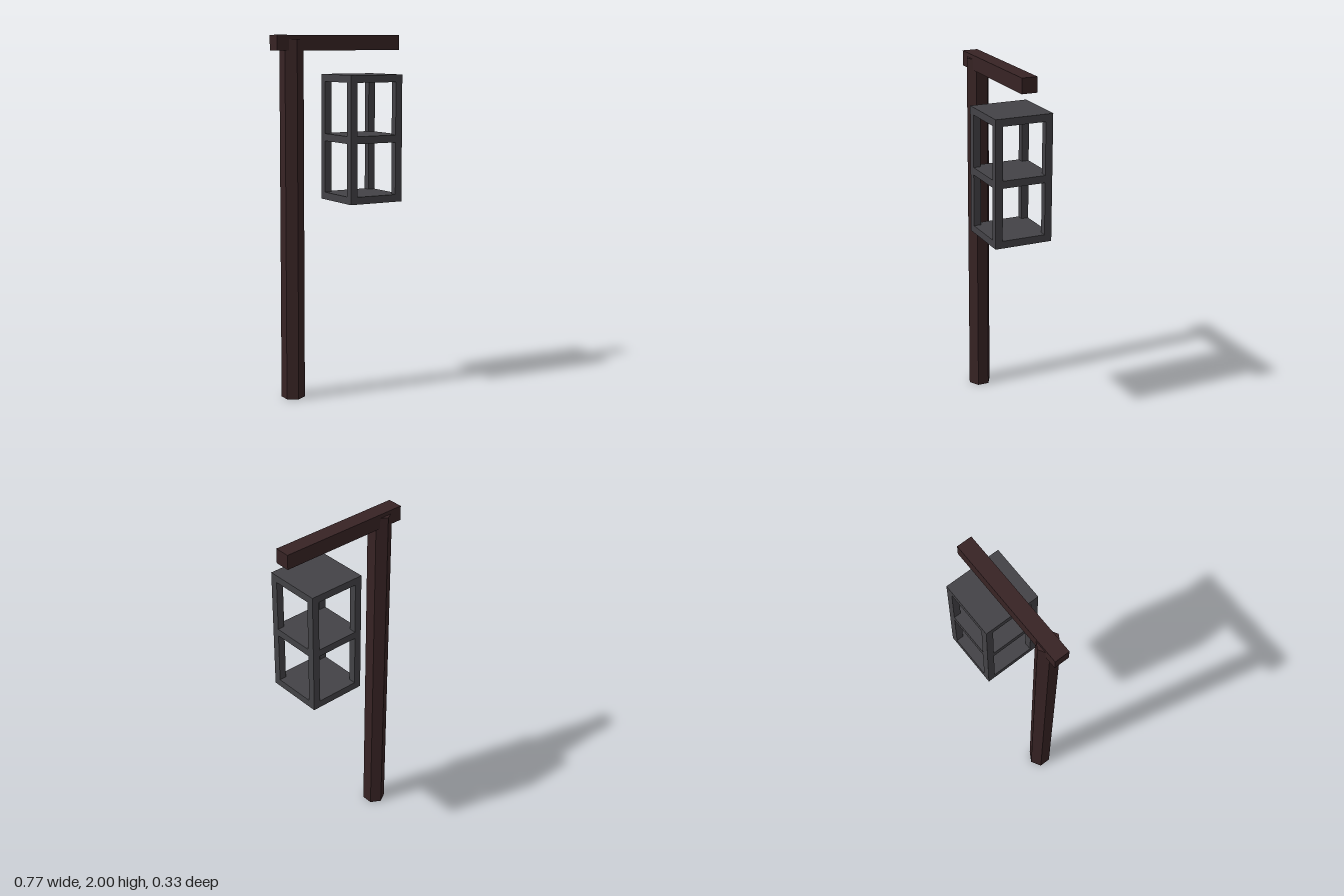
import * as THREE from 'three';

export function createModel() {
  const model = new THREE.Group();
  model.name = 'hangingLanternPost';

  const wood = new THREE.MeshStandardMaterial({ color: 0x372324 });
  wood.name = 'dark wood';
  const iron = new THREE.MeshStandardMaterial({ color: 0x434246 });
  iron.name = 'grey iron';
  wood.flatShading = true;

  const add = (parent, name, geometry, material, x, y, z) => {
    const mesh = new THREE.Mesh(geometry, material);
    mesh.name = name;
    mesh.position.set(x, y, z);
    parent.add(mesh);
  };

  // Six-sided post and the beam across its top
  const postHeight = 1.978;
  add(model, 'post', new THREE.CylinderGeometry(0.065, 0.065, postHeight, 6), wood, -0.275, postHeight / 2, 0);
  add(model, 'beam', new THREE.BoxGeometry(0.766, 0.083, 0.087), wood, 0, 1.9585, 0);

  // Open lantern frame: three plates joined by four corner bars
  const lantern = new THREE.Group();
  lantern.name = 'lantern';
  lantern.position.set(0.164, 1.432, 0);
  model.add(lantern);

  const width = 0.328, height = 0.705, bar = 0.041;
  const plate = new THREE.BoxGeometry(width, bar, width);
  const plateY = (height - bar) / 2;
  add(lantern, 'bottomPlate', plate, iron, 0, -plateY, 0);
  add(lantern, 'middlePlate', plate, iron, 0, 0, 0);
  add(lantern, 'topPlate', plate, iron, 0, plateY, 0);

  const cornerBar = new THREE.BoxGeometry(bar, height, bar);
  const offset = (width - bar) / 2;
  for (const sx of [-1, 1]) {
    for (const sz of [-1, 1]) {
      add(lantern, 'cornerBar', cornerBar, iron, sx * offset, 0, sz * offset);
    }
  }

  return model;
}
